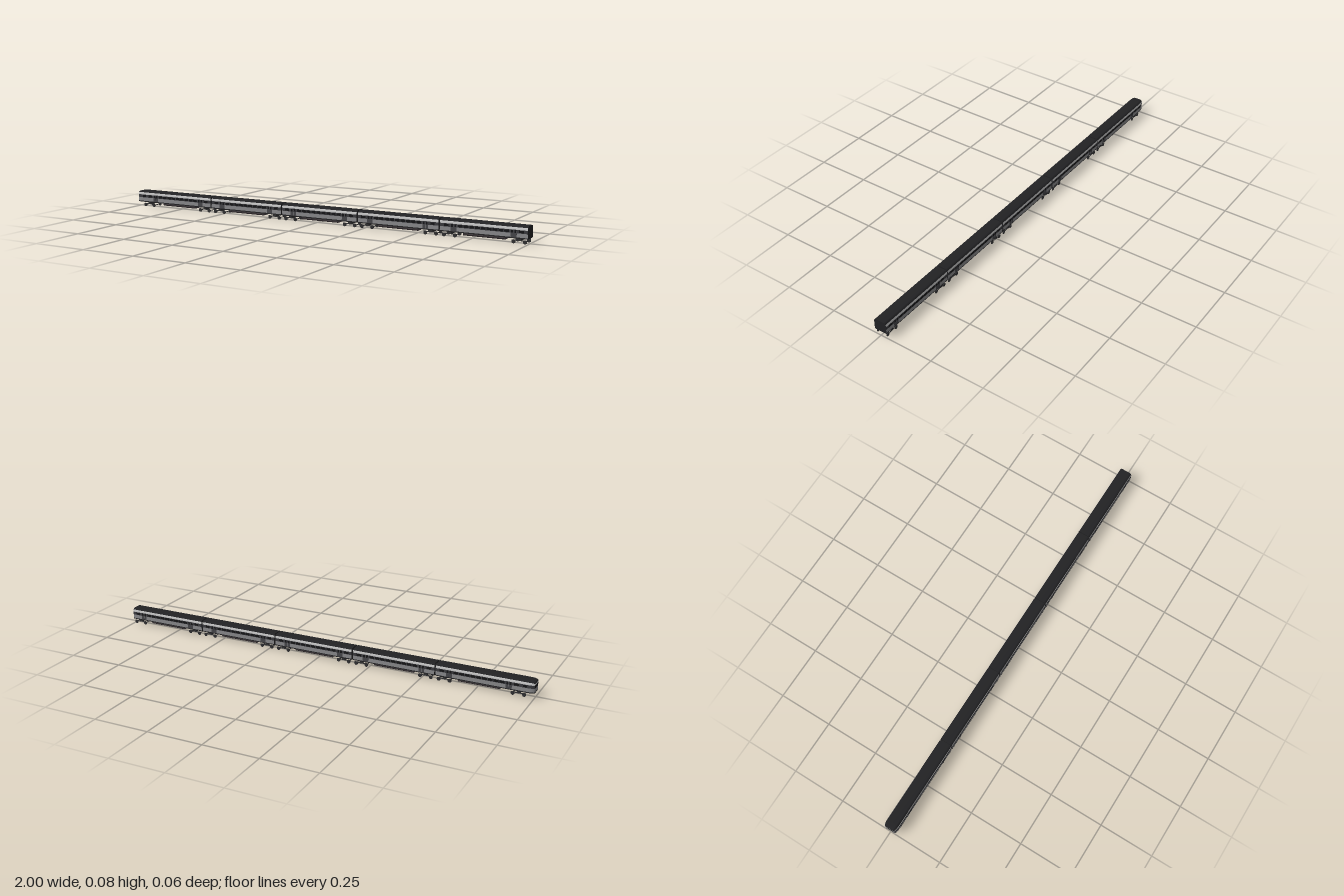
import * as THREE from 'three';

const mat = (color) => new THREE.MeshStandardMaterial({ color, side: THREE.DoubleSide });
const M = {
  black: mat(0x222224), glass: mat(0x151517), band: mat(0x3c3c40), side: mat(0x8c8c8e),
  light: mat(0xcccccc), skirt: mat(0x2c2c2e), door: mat(0x48484c), under: mat(0x4a4246), metal: mat(0x303032),
};

// Half cross-section bands as [z, y] points, from the sill up to the roof edge
const BANDS = [
  ['skirt', 'skirt', [[0.0285, 0.022], [0.03, 0.0235], [0.03, 0.027]]],
  ['lowerSide', 'side', [[0.03, 0.027], [0.03, 0.044]]],
  ['windowBand', 'band', [[0.03, 0.044], [0.03, 0.058]]],
  ['upperStripe', 'light', [[0.03, 0.058], [0.03, 0.064], [0.0285, 0.069]]],
];
const ROOF = [[0.0285, 0.069], [0.0262, 0.0726], [0.0225, 0.075], [0.018, 0.076]];
const mirrored = (pts) => pts.map(([z, y]) => [-z, y]).reverse();

// Surface through rows of [x, y, z] points
function surface(name, rows, material) {
  const n = rows[0].length, index = [];
  for (let i = 0; i < rows.length - 1; i++) for (let j = 0; j < n - 1; j++) {
    const a = i * n + j, b = a + n;
    index.push(a, b, a + 1, a + 1, b, b + 1);
  }
  const g = new THREE.BufferGeometry();
  g.setAttribute('position', new THREE.Float32BufferAttribute(rows.flat(2), 3));
  g.setIndex(index);
  g.computeVertexNormals();
  const mesh = new THREE.Mesh(g, material);
  mesh.name = name;
  return mesh;
}

function box(name, sx, sy, sz, x, y, z, material) {
  const m = new THREE.Mesh(new THREE.BoxGeometry(sx, sy, sz), material);
  m.position.set(x, y, z);
  m.name = name;
  return m;
}

// Cross-section polygon extruded along x
function prism(name, pts, x0, x1, material) {
  const shape = new THREE.Shape(pts.map(([z, y]) => new THREE.Vector2(-z, y)));
  const g = new THREE.ExtrudeGeometry(shape, { depth: x1 - x0, bevelEnabled: false });
  g.rotateY(Math.PI / 2);
  const m = new THREE.Mesh(g, material);
  m.position.x = x0;
  m.name = name;
  return m;
}

// Two-axle bogie
function bogie(x) {
  const g = new THREE.Group();
  g.name = 'bogie';
  g.position.x = x;
  const wheelGeo = new THREE.CylinderGeometry(0.0085, 0.0085, 0.0025, 16).rotateX(Math.PI / 2);
  const axleGeo = new THREE.CylinderGeometry(0.002, 0.002, 0.05, 8).rotateX(Math.PI / 2);
  for (const wx of [-0.025, 0.025]) {
    const axle = new THREE.Mesh(axleGeo, M.metal);
    axle.name = 'axle';
    axle.position.set(wx, 0.0085, 0);
    g.add(axle);
    for (const s of [-1, 1]) {
      const wheel = new THREE.Mesh(wheelGeo, M.metal);
      wheel.name = 'wheel';
      wheel.position.set(wx, 0.0085, s * 0.0245);
      g.add(wheel, box('axleBox', 0.008, 0.006, 0.002, wx, 0.0105, s * 0.0268, M.metal));
    }
  }
  for (const s of [-1, 1]) {
    g.add(box('sideFrame', 0.062, 0.004, 0.002, 0, 0.0145, s * 0.027, M.metal));
    g.add(box('spring', 0.012, 0.007, 0.003, 0, 0.0185, s * 0.0255, M.metal));
  }
  g.add(box('bolster', 0.014, 0.008, 0.05, 0, 0.0165, 0, M.metal));
  return g;
}

// One coach; the leading one has a tapered cab
function car(x0, x1, cab) {
  const g = new THREE.Group();
  g.name = cab ? 'cabCar' : 'coach';
  // Stations along x: [x, width factor, roof drop]
  const stations = cab
    ? [[x0, 0.76, 0.004], [x0 + 0.004, 0.86, 0.002], [x0 + 0.012, 0.94, 0.0006], [x0 + 0.028, 1, 0], [x1, 1, 0]]
    : [[x0, 1, 0], [x1, 1, 0]];
  const at = ([x, w, drop], [z, y]) => [x, y > 0.066 ? y - drop : y, z * w];
  const loft = (pts) => stations.map((st) => pts.map((p) => at(st, p)));

  for (const [name, material, pts] of BANDS) {
    g.add(surface(name, loft(pts), M[material]));
    g.add(surface(name, loft(mirrored(pts)), M[material]));
    // Cab front continues the bands, with the windscreen in the dark one
    if (cab) {
      const m = name === 'windowBand' ? M.glass : M[material];
      g.add(surface('cabFront', [pts.map((p) => at(stations[0], p)),
        pts.map(([z, y]) => at(stations[0], [-z, y]))], m));
    }
  }
  const roof = [...ROOF, ...mirrored(ROOF)];
  g.add(surface('roof', loft(roof), M.black));
  g.add(surface('floor', loft([[-0.0285, 0.022], [0.0285, 0.022]]), M.side));
  if (cab) g.add(surface('cabBrow', [ROOF.map((p) => at(stations[0], p)),
    ROOF.map(([z, y]) => at(stations[0], [-z, y]))], M.black));

  // Flat end walls
  const half = [...BANDS.flatMap((b) => b[2]), ...ROOF]
    .filter((p, i, a) => !i || p[0] !== a[i - 1][0] || p[1] !== a[i - 1][1]);
  const outline = [...half, ...mirrored(half)];
  g.add(prism('endWall', outline, x1 - 0.0015, x1, M.black));
  if (!cab) g.add(prism('endWall', outline, x0, x0 + 0.0015, M.black));

  // Doors near both ends and a row of windows between them
  const mid = x1 - 0.193, doors = [mid - 0.132, mid + 0.132];
  for (const s of [-1, 1]) {
    for (const d of doors) for (const o of [-0.007, 0.007]) {
      g.add(box('door', 0.013, 0.032, 0.0008, d + o, 0.0425, s * 0.03, M.door));
      g.add(box('doorWindow', 0.008, 0.012, 0.0004, d + o, 0.051, s * 0.0305, M.glass));
    }
    for (let i = 0; i < 9; i++)
      g.add(box('window', 0.021, 0.01, 0.0006, mid + (i - 4) * 0.0255, 0.051, s * 0.03, M.glass));
    for (const o of [-0.165, 0.165])
      g.add(box('endWindow', 0.02, 0.01, 0.0006, mid + o, 0.051, s * 0.03, M.glass));
    if (cab) g.add(box('cabWindow', 0.018, 0.01, 0.0006, x0 + 0.04, 0.051, s * 0.03, M.glass));
  }

  // Underfloor equipment and bogies
  const tray = [[0.0235, 0.022], [0.0235, 0.017], [0.018, 0.011], [-0.018, 0.011], [-0.0235, 0.017], [-0.0235, 0.022]];
  const trayMid = cab ? -0.757 : x1 - 0.193;
  g.add(prism('underfloorEquipment', tray, trayMid - 0.093, trayMid + 0.093, M.under));
  g.add(bogie(cab ? x0 + 0.068 : x0 + 0.042), bogie(cab ? x1 - 0.038 : x1 - 0.038));
  return g;
}

export function createModel() {
  const train = new THREE.Group();
  train.name = 'train';
  const joints = [-0.5625, -0.172, 0.2185, 0.609], gap = 0.003;
  const ends = [-1 - gap, ...joints, 1 + gap];
  for (let i = 0; i < 5; i++) train.add(car(ends[i] + gap, ends[i + 1] - gap, i === 0));
  // Gangways between the cars
  for (const x of joints) train.add(box('gangway', 0.008, 0.044, 0.044, x, 0.047, 0, M.black));
  // Passage door on the flat rear end
  train.add(box('rearDoor', 0.001, 0.04, 0.018, 0.9996, 0.045, 0, M.black));
  return train;
}
